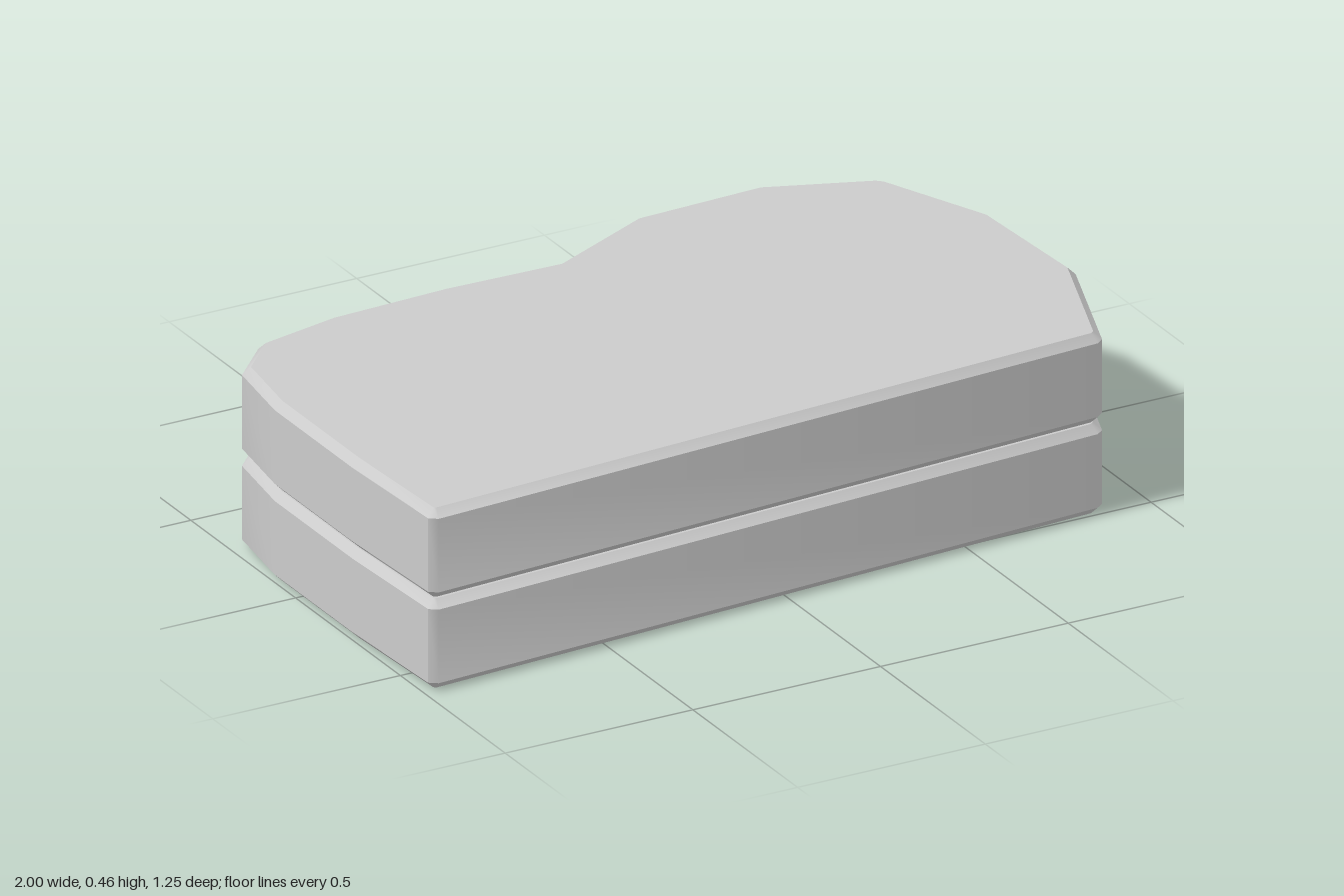
import * as THREE from 'three';
import { toCreasedNormals } from 'three/addons/utils/BufferGeometryUtils.js';

const TOTAL = 0.46, SLAB = 0.228, BEVEL = 0.02;

// Plan outline as [x, z], straight front edge first, then around the back
const OUTLINE = [
  [-0.965, 0.62], [0.855, 0.505], [0.875, 0.49],
  [1.0, 0.14], [0.98, -0.22], [0.86, -0.505], [0.84, -0.525],
  [0.58, -0.625], [0.24, -0.61], [-0.04, -0.475], [-0.34, -0.483],
  [-0.65, -0.468], [-0.865, -0.42], [-0.97, -0.31], [-1.0, -0.1],
  [-1.0, 0.27], [-0.985, 0.605],
];

// One slab with chamfered rims, standing on y = 0
function slabGeometry() {
  const shape = new THREE.Shape(OUTLINE.map(([x, z]) => new THREE.Vector2(x, -z)));
  const geometry = new THREE.ExtrudeGeometry(shape, {
    depth: SLAB - 2 * BEVEL,
    bevelEnabled: true,
    bevelThickness: BEVEL,
    bevelSize: BEVEL,
    bevelOffset: -BEVEL,
    bevelSegments: 1,
  });
  geometry.rotateX(-Math.PI / 2);
  geometry.translate(0, BEVEL, 0);
  return toCreasedNormals(geometry, 0.76);
}

export function createModel() {
  const model = new THREE.Group();
  model.name = 'stackedSlabs';
  const material = new THREE.MeshStandardMaterial({ color: 0xcccccc });
  const geometry = slabGeometry();

  // Two identical slabs with a thin seam between them
  [['lowerSlab', 0], ['upperSlab', TOTAL - SLAB]].forEach(([name, y]) => {
    const slab = new THREE.Mesh(geometry, material);
    slab.name = name;
    slab.position.y = y;
    model.add(slab);
  });
  return model;
}
